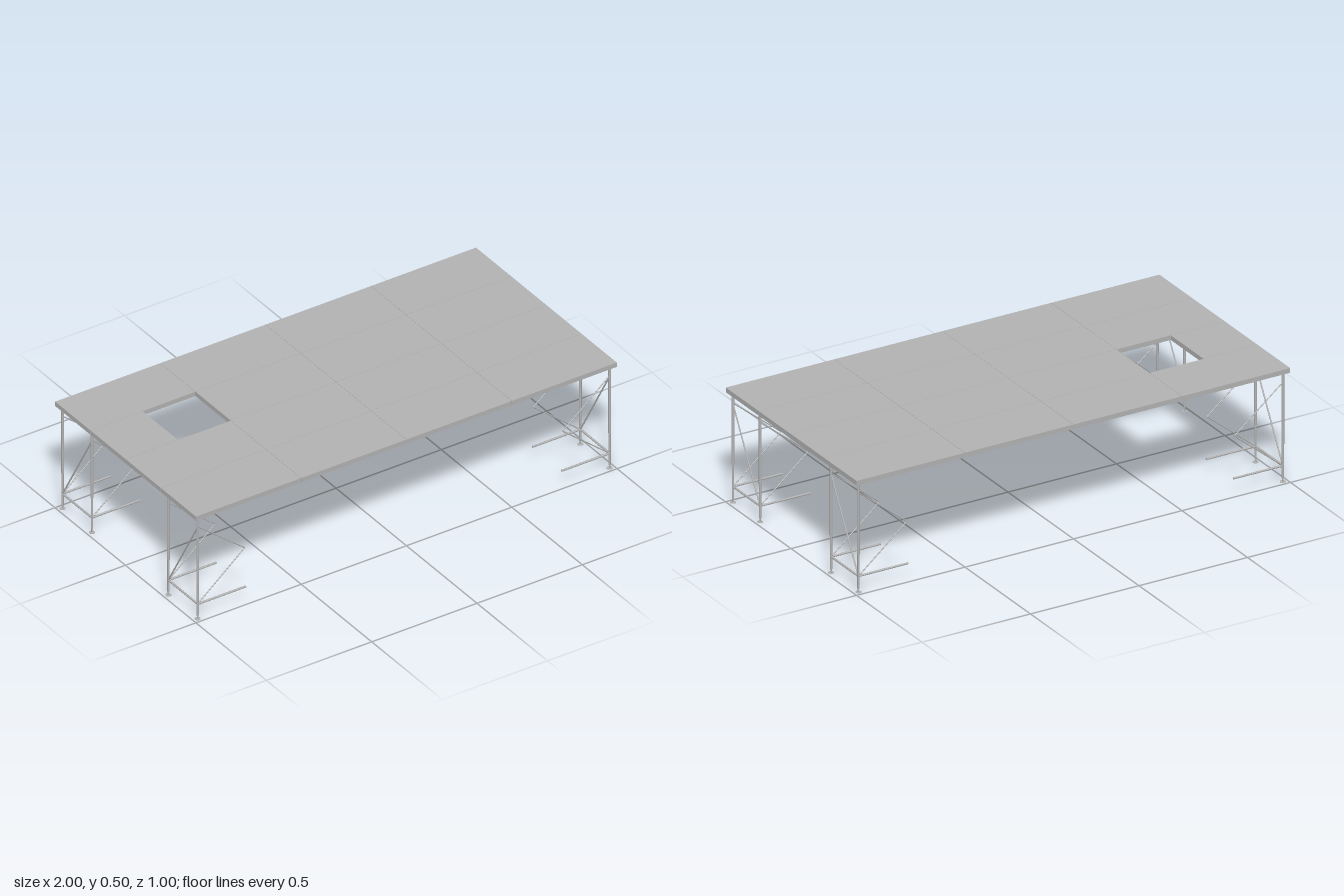
import * as THREE from 'three';

const metal = new THREE.MeshStandardMaterial({ color: 0xb2b2b2 });
metal.name = 'grey metal';

function box(parent, name, w, h, d, x, y, z) {
  const m = new THREE.Mesh(new THREE.BoxGeometry(w, h, d), metal);
  m.name = name;
  m.position.set(x, y, z);
  parent.add(m);
  return m;
}

// round bar between two points
function rod(parent, name, a, b, r, sides = 8) {
  const from = new THREE.Vector3(...a), to = new THREE.Vector3(...b);
  const dir = to.clone().sub(from);
  const m = new THREE.Mesh(new THREE.CylinderGeometry(r, r, dir.length(), sides), metal);
  m.name = name;
  m.position.copy(from).add(to).multiplyScalar(0.5);
  m.quaternion.setFromUnitVectors(new THREE.Vector3(0, 1, 0), dir.normalize());
  parent.add(m);
}

// one platform panel: top sheet, edge rails, ribs and corner gussets
function deck(w, d, ribs) {
  const g = new THREE.Group();
  g.name = 'deckPanel';
  const W = w - 0.0012, D = d - 0.0012, t = 0.01;
  box(g, 'topSheet', W, 0.005, D, 0, 0.4975, 0);
  for (const s of [-1, 1]) {
    box(g, 'longRail', W, 0.0155, t, 0, 0.48725, s * (D - t) / 2);
    box(g, 'endRail', t, 0.0155, D - 2 * t, s * (W - t) / 2, 0.48725, 0);
  }
  for (let i = 1; i <= ribs; i++) {
    box(g, 'rib', 0.008, 0.009, D - 2 * t, -w / 2 + (w * i) / (ribs + 1), 0.491, 0);
  }
  const c = 0.045;
  for (const sx of [-1, 1]) for (const sz of [-1, 1]) {
    const x = sx * (W / 2 - t), z = sz * (D / 2 - t);
    const shape = new THREE.Shape([
      new THREE.Vector2(x, -z), new THREE.Vector2(x - sx * c, -z), new THREE.Vector2(x, -z + sz * c),
    ]);
    const geo = new THREE.ExtrudeGeometry(shape, { depth: 0.006, bevelEnabled: false });
    geo.rotateX(-Math.PI / 2);
    const m = new THREE.Mesh(geo, metal);
    m.name = 'cornerGusset';
    m.position.y = 0.481;
    g.add(m);
  }
  return g;
}

// telescopic leg with its foot plate and folding side brace
function leg(parent, side, z) {
  const x = side * 0.978, inner = side * 0.755;
  rod(parent, 'upperLeg', [x, 0.165, z], [x, 0.482, z], 0.0058, 12);
  rod(parent, 'lowerLeg', [x, 0.016, z], [x, 0.165, z], 0.0046, 12);
  rod(parent, 'footScrew', [x, 0, z], [x, 0.016, z], 0.003);
  const foot = new THREE.Mesh(new THREE.CylinderGeometry(0.012, 0.012, 0.002, 16), metal);
  foot.name = 'footPlate';
  foot.position.set(x, 0.001, z);
  parent.add(foot);
  rod(parent, 'sideBar', [x, 0.07, z], [side * 0.75, 0.07, z], 0.0045);
  rod(parent, 'upperBrace', [x, 0.435, z], [inner, 0.255, z], 0.0025);
  rod(parent, 'lowerBrace', [inner, 0.255, z], [x, 0.07, z], 0.0025);
}

export function createModel() {
  const model = new THREE.Group();
  model.name = 'stagePlatform';

  // four by four panels; one is half length and leaves a square opening
  for (let i = 0; i < 4; i++) for (let j = 0; j < 4; j++) {
    const half = i === 0 && j === 1;
    const panel = half ? deck(0.25, 0.25, 1) : deck(0.5, 0.25, 3);
    panel.position.set(half ? -0.875 : -0.75 + i * 0.5, 0, -0.375 + j * 0.25);
    model.add(panel);
  }

  // lock plates under the inner panel corners
  for (const x of [-0.5, 0, 0.5]) for (const z of [-0.25, 0, 0.25]) {
    for (const sx of [-1, 1]) for (const sz of [-1, 1]) {
      if (x === -0.5 && sx < 0 && ((z === -0.25 && sz > 0) || (z === 0 && sz < 0))) continue;
      box(model, 'lockPlate', 0.018, 0.004, 0.018, x + sx * 0.016, 0.4785, z + sz * 0.016);
    }
  }

  // leg frames under the four corners
  for (const side of [-1, 1]) for (const [front, back] of [[0.48, 0.272], [-0.27, -0.478]]) {
    const frame = new THREE.Group();
    frame.name = 'legFrame';
    const x = side * 0.978;
    leg(frame, side, front);
    leg(frame, side, back);
    rod(frame, 'crossBar', [x, 0.07, front], [x, 0.07, back], 0.0045);
    rod(frame, 'crossBrace', [x, 0.432, front], [x, 0.07, back], 0.0032);
    model.add(frame);
  }
  return model;
}
